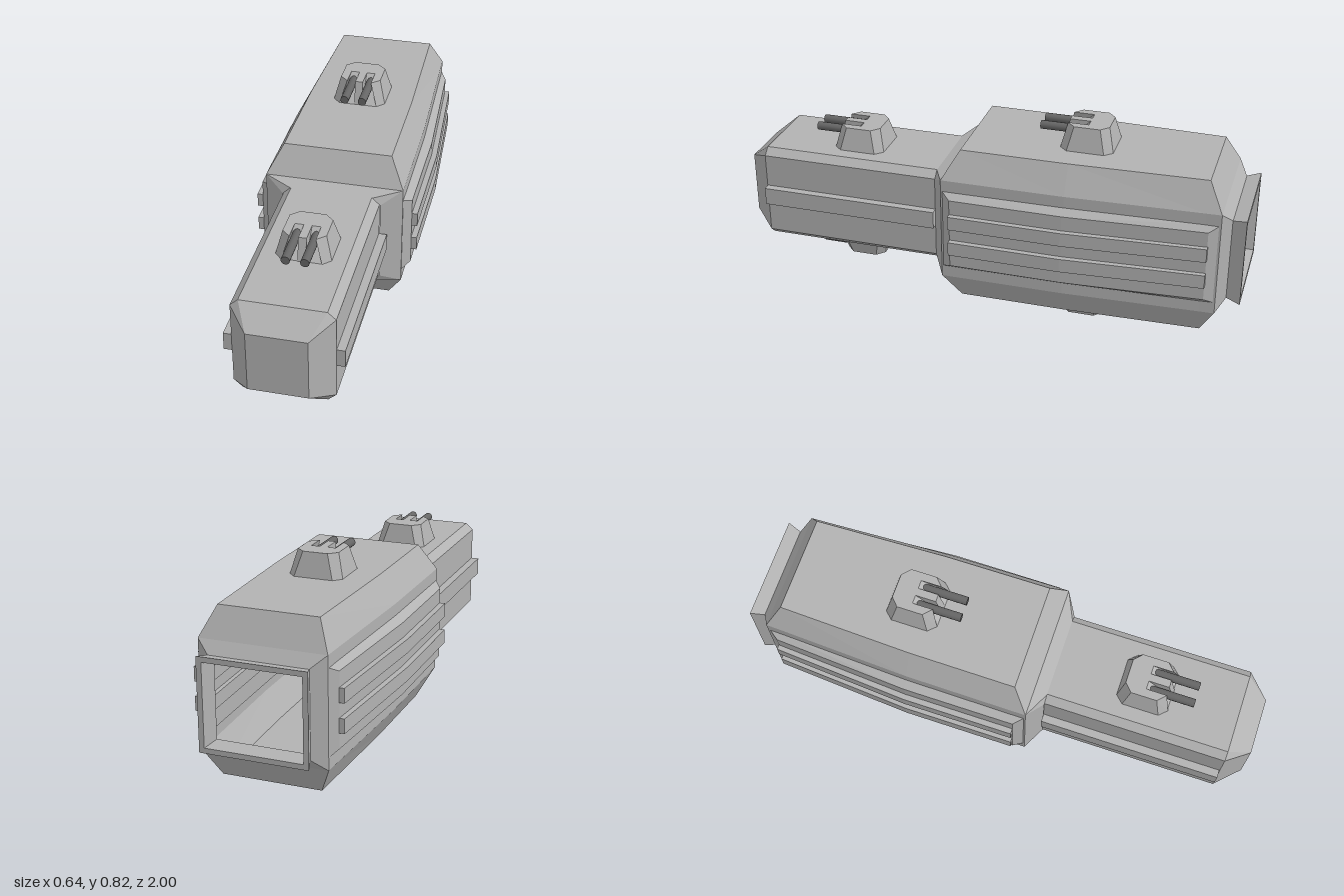
import * as THREE from 'three';
import { ConvexGeometry } from 'three/addons/geometries/ConvexGeometry.js';

const MID = 0.412; // height of the ship's axis

export function createModel() {
  const ship = new THREE.Group();
  ship.name = 'spaceship';
  const hullGray = new THREE.MeshStandardMaterial({ color: 0xb2b2b2 });
  hullGray.name = 'hullGray';
  hullGray.side = THREE.DoubleSide;
  const gunGray = new THREE.MeshStandardMaterial({ color: 0x666666 });
  gunGray.name = 'gunGray';

  const add = (parent, name, geometry, material = hullGray) => {
    const mesh = new THREE.Mesh(geometry, material);
    mesh.name = name;
    parent.add(mesh);
    return mesh;
  };
  const convex = (points) => new ConvexGeometry(points.map((p) => new THREE.Vector3(...p)));

  // Eight-cornered section: cap corner (tx, ty) and side corner (sx, sy), mirrored both ways
  const section = (z, tx, ty, sx, sy) => [
    [sx, -sy], [sx, sy], [tx, ty], [-tx, ty], [-sx, sy], [-sx, -sy], [-tx, -ty], [tx, -ty],
  ].map(([x, y]) => [x, y + MID, z]);

  // Flat-shaded skin through sections running from front to back
  const loft = (rings) => {
    const pos = [];
    for (let i = 0; i < rings.length - 1; i++) {
      for (let j = 0; j < 8; j++) {
        const k = (j + 1) % 8;
        const a = rings[i][j], b = rings[i][k], c = rings[i + 1][j], d = rings[i + 1][k];
        pos.push(...a, ...c, ...b, ...b, ...c, ...d);
      }
    }
    const g = new THREE.BufferGeometry();
    g.setAttribute('position', new THREE.Float32BufferAttribute(pos, 3));
    g.computeVertexNormals();
    return g;
  };

  // Main hull, hollow, with a flared open nozzle at the back
  add(ship, 'mainHull', loft([
    section(0.2, 0.16, 0.193, 0.19, 0.164),
    section(0.15, 0.268, 0.209, 0.268, 0.209),
    section(0.088, 0.21, 0.318, 0.268, 0.209),
    section(-0.33, 0.208, 0.318, 0.265, 0.209),
    section(-0.855, 0.19, 0.318, 0.242, 0.209),
    section(-0.912, 0.24, 0.209, 0.24, 0.209),
    section(-0.948, 0.185, 0.163, 0.185, 0.163),
  ]));
  add(ship, 'nozzle', loft([
    section(-0.94, 0.186, 0.163, 0.186, 0.163),
    section(-1, 0.205, 0.177, 0.205, 0.177),
    section(-1, 0.185, 0.157, 0.185, 0.157),
    section(-0.94, 0.166, 0.145, 0.166, 0.145),
  ]));

  // Forward hull with chamfered edges and a tapered nose
  add(ship, 'forwardHull', convex([
    ...section(0.195, 0.157, 0.193, 0.187, 0.166),
    ...section(0.912, 0.157, 0.193, 0.187, 0.166),
    ...section(1, 0.11, 0.122, 0.11, 0.122),
  ]));

  // Side armour and rails on both flanks
  for (const s of [1, -1]) {
    const side = s > 0 ? 'left' : 'right';
    const armour = [];
    for (const v of [1, -1]) {
      armour.push(
        [s * 0.264, MID + v * 0.165, 0.148], [s * 0.262, MID + v * 0.165, -0.33],
        [s * 0.236, MID + v * 0.165, -0.91],
        [s * 0.297, MID + v * 0.142, 0.108], [s * 0.297, MID + v * 0.142, -0.33],
        [s * 0.263, MID + v * 0.142, -0.87],
      );
      const rail = [];
      for (const y of [0.028, 0.083]) {
        rail.push([s * 0.25, MID + v * y, 0.108], [s * 0.22, MID + v * y, -0.872],
          [s * 0.319, MID + v * y, 0.108], [s * 0.319, MID + v * y, -0.33],
          [s * 0.282, MID + v * y, -0.872]);
      }
      add(ship, side + (v > 0 ? 'UpperRail' : 'LowerRail'), convex(rail));
    }
    add(ship, side + 'Armour', convex(armour));
    const front = add(ship, side + 'ForwardRail', new THREE.BoxGeometry(0.04, 0.07, 0.71));
    front.position.set(s * 0.198, MID, 0.555);
  }

  // Twin-gun turret: chamfered frustum with two sloping gun slots
  const H = 0.092;
  const makeTurret = () => {
    const turret = new THREE.Group();
    turret.name = 'turret';
    add(turret, 'turretRear', convex([1, -1].flatMap((s) => [
      [s * 0.08, H, 0], [s * 0.08, H, -0.05], [s * 0.048, H, -0.08],
      [s * 0.104, 0, 0], [s * 0.104, 0, -0.072], [s * 0.075, 0, -0.102],
    ])));
    add(turret, 'turretCentre', convex([1, -1].flatMap((s) => [
      [s * 0.015, H, 0], [s * 0.015, H, 0.08], [s * 0.015, 0, 0], [s * 0.015, 0, 0.102],
    ])));
    for (const s of [1, -1]) {
      add(turret, 'turretCheek', convex([
        [s * 0.048, H, 0], [s * 0.08, H, 0], [s * 0.08, H, 0.05], [s * 0.048, H, 0.08],
        [s * 0.075, 0, 0], [s * 0.104, 0, 0], [s * 0.104, 0, 0.072], [s * 0.075, 0, 0.102],
      ]));
      add(turret, 'gunSlot', convex([
        [s * 0.015, H, 0], [s * 0.048, H, 0], [s * 0.015, 0, 0], [s * 0.075, 0, 0],
        [s * 0.015, 0, 0.102], [s * 0.075, 0, 0.102],
      ]));
      const barrel = add(turret, 'gunBarrel',
        new THREE.CylinderGeometry(0.0165, 0.0165, 0.186, 12), gunGray);
      barrel.rotation.x = Math.PI / 2;
      barrel.position.set(s * 0.035, 0.064, 0.095);
    }
    return turret;
  };

  // Turrets above and below each hull
  for (const [z, h] of [[0.552, 0.19], [-0.368, 0.318]]) {
    for (const v of [1, -1]) {
      const turret = makeTurret();
      turret.position.set(0, MID + v * h, z);
      if (v < 0) turret.rotation.z = Math.PI;
      ship.add(turret);
    }
  }
  return ship;
}
